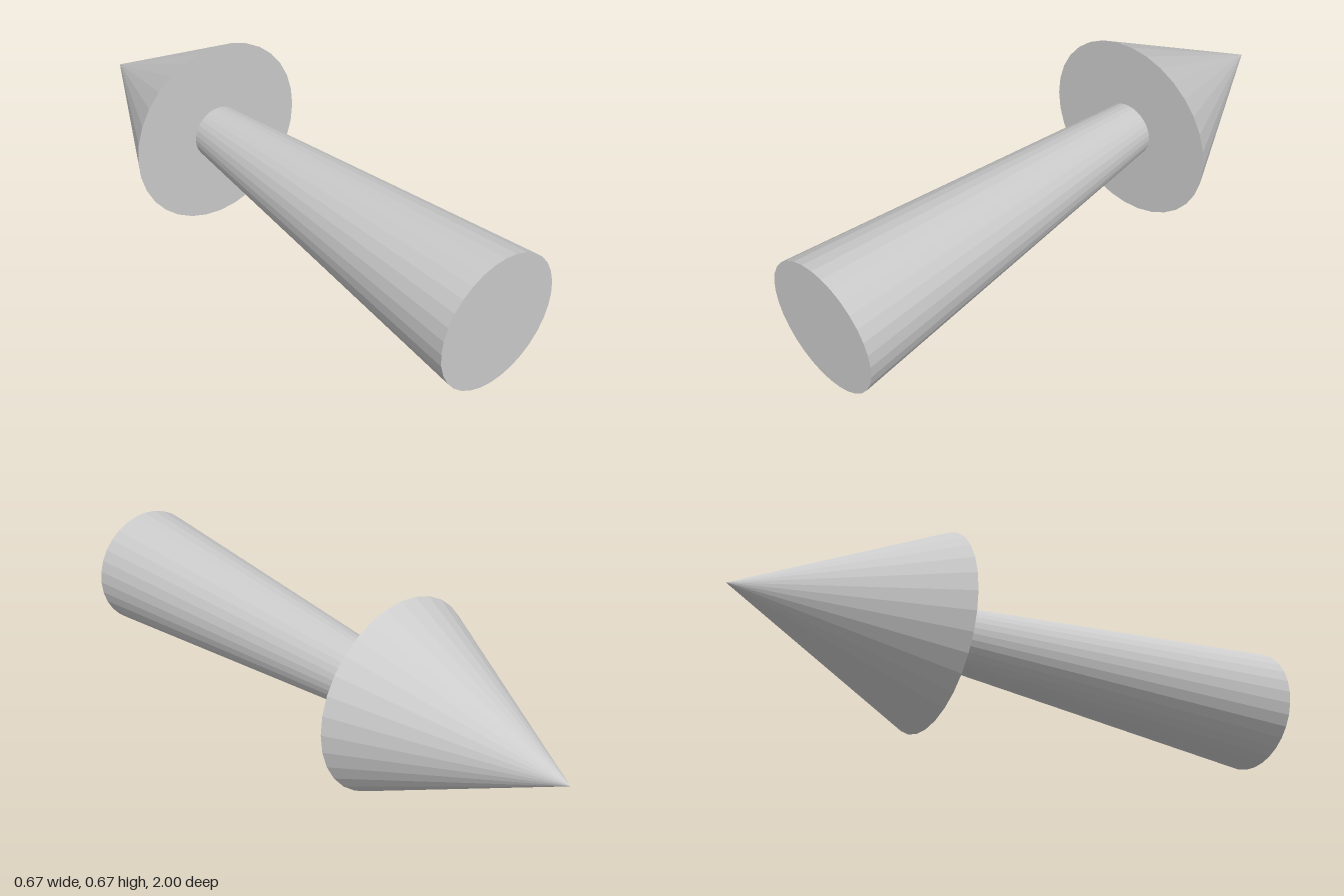
import * as THREE from 'three';

const SIDES = 32;
const AXIS_Y = 0.333;

export function createModel() {
  const group = new THREE.Group();
  group.name = 'arrow';
  const material = new THREE.MeshStandardMaterial({ color: 0xcccccc, flatShading: true });

  // Round section along z, from zFront (radius rFront) to zBack (radius rBack)
  function addSection(name, zFront, zBack, rFront, rBack) {
    const geometry = rBack === 0
      ? new THREE.ConeGeometry(rFront, zFront - zBack, SIDES)
      : new THREE.CylinderGeometry(rBack, rFront, zFront - zBack, SIDES);
    geometry.rotateX(-Math.PI / 2);
    const mesh = new THREE.Mesh(geometry, material);
    mesh.name = name;
    mesh.position.set(0, AXIS_Y, (zFront + zBack) / 2);
    group.add(mesh);
  }

  // Tapered shaft, widest at the front end
  addSection('shaft', 1, -0.333, 0.22, 0.097);
  // Pointed head facing backwards
  addSection('head', -0.333, -1, 0.333, 0);

  return group;
}
